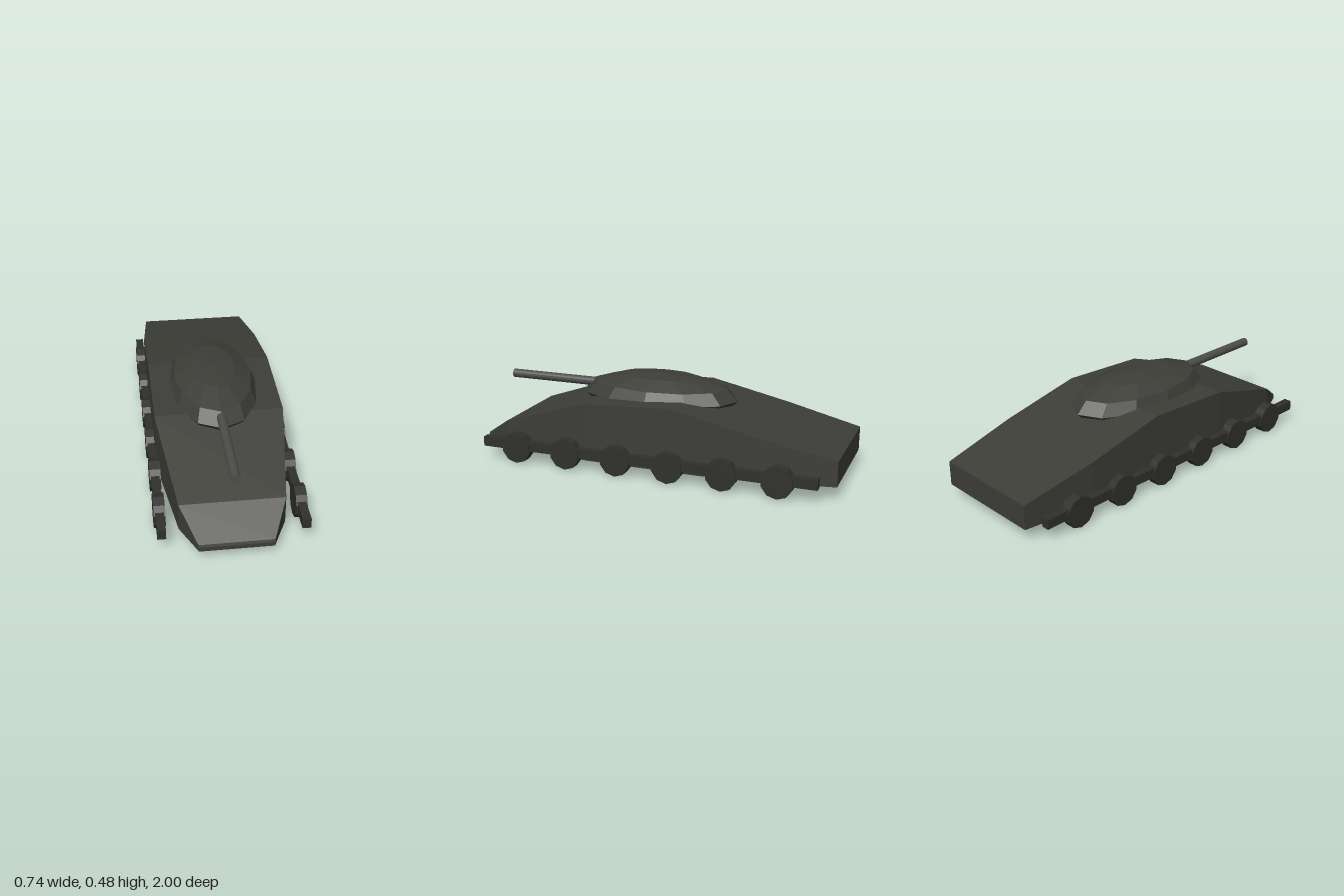
import * as THREE from 'three';

const paint = (color) => new THREE.MeshStandardMaterial({ color, flatShading: true });

// Lofts rectangular sections [z, halfWidth, bottom, top], ordered front to back
function loftSections(sections) {
  const positions = [];
  const rings = sections.map(([z, w, b, t]) => [[-w, b, z], [w, b, z], [w, t, z], [-w, t, z]]);
  const quad = (a, b, c, d) => positions.push(...a, ...b, ...c, ...a, ...c, ...d);
  for (let i = 0; i < rings.length - 1; i++) {
    const front = rings[i], back = rings[i + 1];
    for (let j = 0; j < 4; j++) {
      const k = (j + 1) % 4;
      quad(front[j], back[j], back[k], front[k]);
    }
  }
  quad(...rings[0]);
  quad(...rings[rings.length - 1].slice().reverse());
  const geometry = new THREE.BufferGeometry();
  geometry.setAttribute('position', new THREE.Float32BufferAttribute(positions, 3));
  geometry.computeVertexNormals();
  return geometry;
}

export function createModel() {
  const model = new THREE.Group();
  model.name = 'tank';
  const armour = paint(0x3d3e38);
  const steel = paint(0x4c4c4a);
  const running = paint(0x30302e);

  const add = (name, geometry, material, x, y, z, parent = model) => {
    const mesh = new THREE.Mesh(geometry, material);
    mesh.name = name;
    mesh.position.set(x, y, z);
    parent.add(mesh);
    return mesh;
  };

  // Wedge hull, tapering to nose and tail
  add('hull', loftSections([
    [1, 0.18, 0.05, 0.072],
    [0.995, 0.18, 0.05, 0.085],
    [0.83, 0.257, 0.05, 0.195],
    [0.32, 0.328, 0.05, 0.362],
    [-0.16, 0.328, 0.05, 0.386],
    [-0.3, 0.328, 0.05, 0.356],
    [-0.6, 0.328, 0.061, 0.291],
    [-1, 0.295, 0.075, 0.205],
  ]), armour, 0, 0, 0);

  // Faceted oval turret, its lower half sunk into the hull
  const dome = new THREE.SphereGeometry(1, 12, 6);
  dome.scale(0.235, 0.121, 0.435);
  add('turret', dome, armour, 0, 0.362, 0.03);

  // Gun barrel
  const barrel = new THREE.CylinderGeometry(0.024, 0.024, 0.6, 16);
  barrel.rotateX(Math.PI / 2);
  add('gunBarrel', barrel, steel, 0, 0.393, 0.62);

  // Running gear: a rail and six road wheels on each side
  const wheel = new THREE.CylinderGeometry(0.0835, 0.0835, 0.056, 10);
  wheel.rotateY(Math.PI / 2).rotateZ(Math.PI / 2);
  const rail = new THREE.BoxGeometry(0.042, 0.052, 1.84);
  for (const side of [-1, 1]) {
    const gear = new THREE.Group();
    gear.name = side > 0 ? 'leftRunningGear' : 'rightRunningGear';
    model.add(gear);
    add('rail', rail, running, side * 0.344, 0.098, 0, gear);
    for (let i = 0; i < 6; i++) {
      add('roadWheel', wheel, running, side * 0.344, 0.0835, 0.72 - i * 0.288, gear);
    }
  }
  return model;
}
